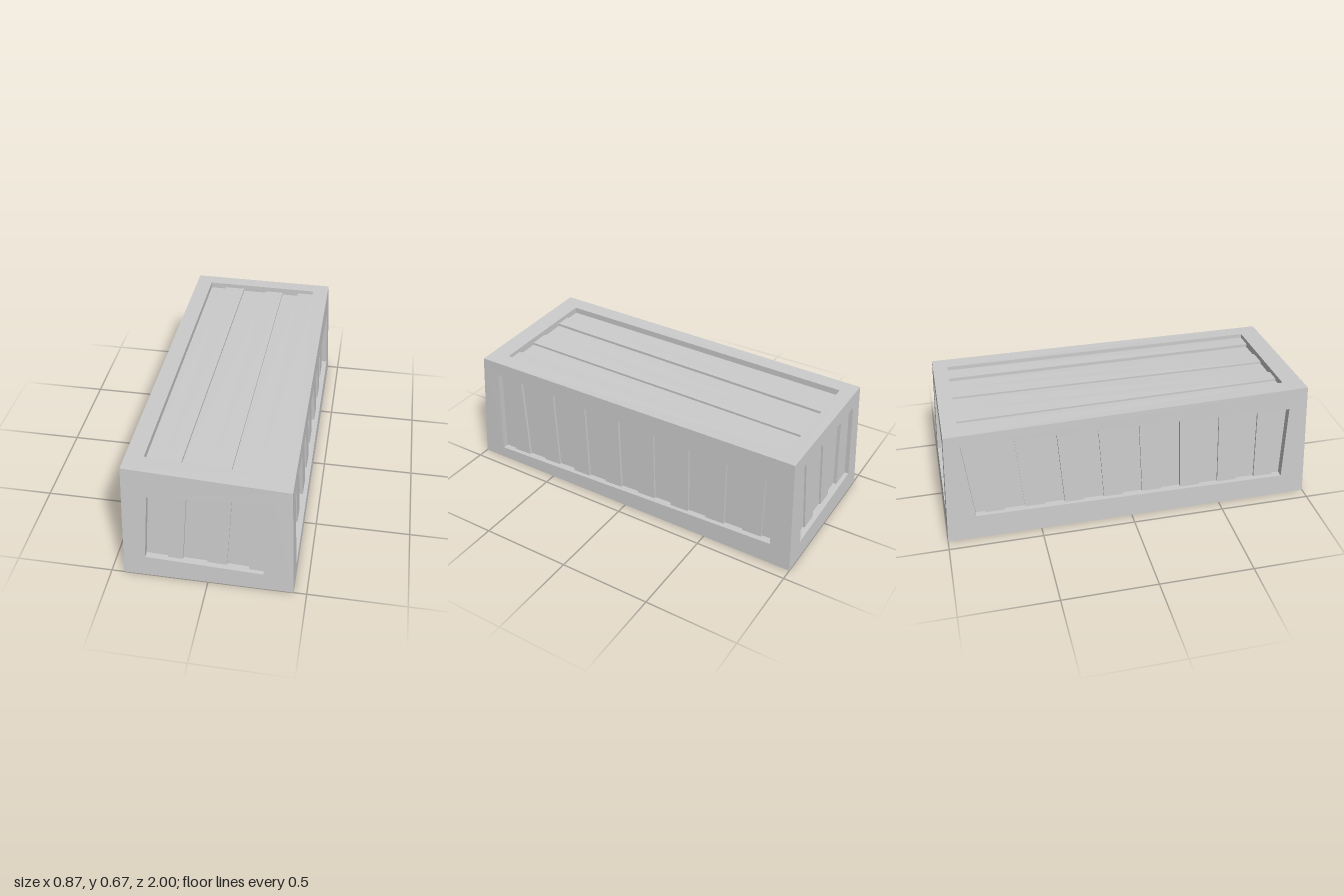
import * as THREE from 'three';

const material = new THREE.MeshStandardMaterial({ color: 0xcccccc, flatShading: true, side: THREE.DoubleSide });

// Flat-shaded mesh from a list of four-cornered faces
function quadMesh(name, quads) {
  const points = quads.flatMap(([a, b, c, d]) => [a, b, c, a, c, d]);
  const geometry = new THREE.BufferGeometry().setFromPoints(points);
  geometry.computeVertexNormals();
  const mesh = new THREE.Mesh(geometry, material);
  mesh.name = name;
  return mesh;
}

// Closed slab between an outer and an inner loop of four corners
function slab(name, outer, inner) {
  const sides = outer.map((p, i) => {
    const j = (i + 1) % 4;
    return [p, inner[i], inner[j], outer[j]];
  });
  return quadMesh(name, [outer, [...inner].reverse(), ...sides]);
}

const v = (x, y, z) => new THREE.Vector3(x, y, z);
const lerp = THREE.MathUtils.lerp;

// Slightly uneven, tapered box corners
const B = { fl: v(-0.435, 0, 1), fr: v(0.435, 0, 1), br: v(0.435, 0, -1), bl: v(-0.435, 0, -1) };
const T = { fl: v(-0.415, 0.67, 0.963), fr: v(0.405, 0.63, 0.963), br: v(0.405, 0.63, -0.965), bl: v(-0.415, 0.635, -0.965) };
const lidHeight = (x, z) => {
  const u = (x + 0.415) / 0.82, w = (z + 0.965) / 1.928;
  return lerp(lerp(T.bl.y, T.fl.y, w), lerp(T.br.y, T.fr.y, w), u);
};

// One framed panel: s runs right and t runs up, seen from outside.
// hole: bottom left, bottom right, top right, top left.
// seams: [s at bottom, s at top] between neighbouring planks.
function panel({ name, corners, hole, seams, at, inward, backing }) {
  const group = new THREE.Group();
  group.name = name;
  const push = (p, d) => p.clone().addScaledVector(inward, d);
  const rim = hole.map(([s, t]) => at(s, t));

  // Frame face and the reveal around its opening
  const faces = [];
  for (let i = 0; i < 4; i++) {
    const j = (i + 1) % 4;
    faces.push([corners[i], corners[j], rim[j], rim[i]]);
    faces.push([rim[i], rim[j], push(rim[j], 0.05), push(rim[i], 0.05)]);
  }
  group.add(quadMesh(name + 'Frame', faces));

  // Recessed planks, set at differing depths
  const [h0, h1, h2, h3] = hole;
  const edges = [[h0[0] - 0.01, h3[0] - 0.01], ...seams, [h1[0] + 0.01, h2[0] + 0.01]];
  const low = s => lerp(h0[1], h1[1], (s - h0[0]) / (h1[0] - h0[0])) - 0.02;
  const high = s => lerp(h3[1], h2[1], (s - h3[0]) / (h2[0] - h3[0])) + 0.02;
  const depths = [0.034, 0.024, 0.038, 0.028, 0.04, 0.022];
  for (let i = 0; i < edges.length - 1; i++) {
    const [a, b] = [edges[i], edges[i + 1]];
    const loop = [at(a[0], low(a[0])), at(b[0], low(b[0])), at(b[1], high(b[1])), at(a[1], high(a[1]))];
    const d = depths[i % depths.length];
    group.add(slab(name + 'Plank', loop.map(p => push(p, d)), loop.map(p => push(p, d + 0.034))));
  }

  // Flat board behind the planks
  if (backing) {
    group.add(slab(name + 'Backing', rim.map(p => push(p, 0.066)), rim.map(p => push(p, 0.078))));
  }
  return group;
}

// Evenly spaced seams whose lean fades towards the back
const sideSeams = Array.from({ length: 16 }, (_, i) => {
  const z = 0.79 - 0.107 * i;
  return [z, z + lerp(0.042, 0.005, i / 15)];
});

export function createModel() {
  const crate = new THREE.Group();
  crate.name = 'crate';
  crate.add(
    panel({
      name: 'front', corners: [B.fl, B.fr, T.fr, T.fl], inward: v(0, 0, -1), backing: true,
      at: (s, t) => v(s, t, 1 - 0.057 * t),
      hole: [[-0.32, 0.12], [0.28, 0.098], [0.317, 0.552], [-0.295, 0.51]],
      seams: [[-0.207, -0.21], [-0.132, -0.104], [-0.008, 0.018], [0.091, 0.117], [0.204, 0.204]],
    }),
    panel({
      name: 'back', corners: [B.br, B.bl, T.bl, T.br], inward: v(0, 0, 1), backing: true,
      at: (s, t) => v(-s, t, -1 + 0.055 * t),
      hole: [[-0.31, 0.1], [0.33, 0.12], [0.33, 0.55], [-0.31, 0.555]],
      seams: [[-0.2, -0.215], [-0.1, -0.11], [0.01, 0], [0.11, 0.12], [0.21, 0.225]],
    }),
    panel({
      name: 'rightSide', corners: [B.fr, B.br, T.br, T.fr], inward: v(-1, 0, 0),
      at: (s, t) => v(0.435 - 0.048 * t, t, -s),
      hole: [[-0.865, 0.065], [0.88, 0.12], [0.86, 0.49], [-0.865, 0.555]],
      seams: sideSeams.map(([a, b]) => [-a, -b]),
    }),
    panel({
      name: 'leftSide', corners: [B.bl, B.fl, T.fl, T.bl], inward: v(1, 0, 0),
      at: (s, t) => v(-0.435 + 0.031 * t, t, s),
      hole: [[-0.84, 0.14], [0.86, 0.12], [0.87, 0.55], [-0.885, 0.58]],
      seams: sideSeams.map(([a, b]) => [-a, -b]),
    }),
    panel({
      name: 'lid', corners: [T.fl, T.fr, T.br, T.bl], inward: v(0, -1, 0),
      at: (s, t) => v(s, lidHeight(s, -t), -t),
      hole: [[-0.325, -0.855], [0.315, -0.855], [0.315, 0.885], [-0.325, 0.885]],
      seams: [[-0.235, -0.235], [-0.15, -0.118], [-0.01, 0.02], [0.095, 0.125], [0.22, 0.22]],
    }),
  );
  return crate;
}
